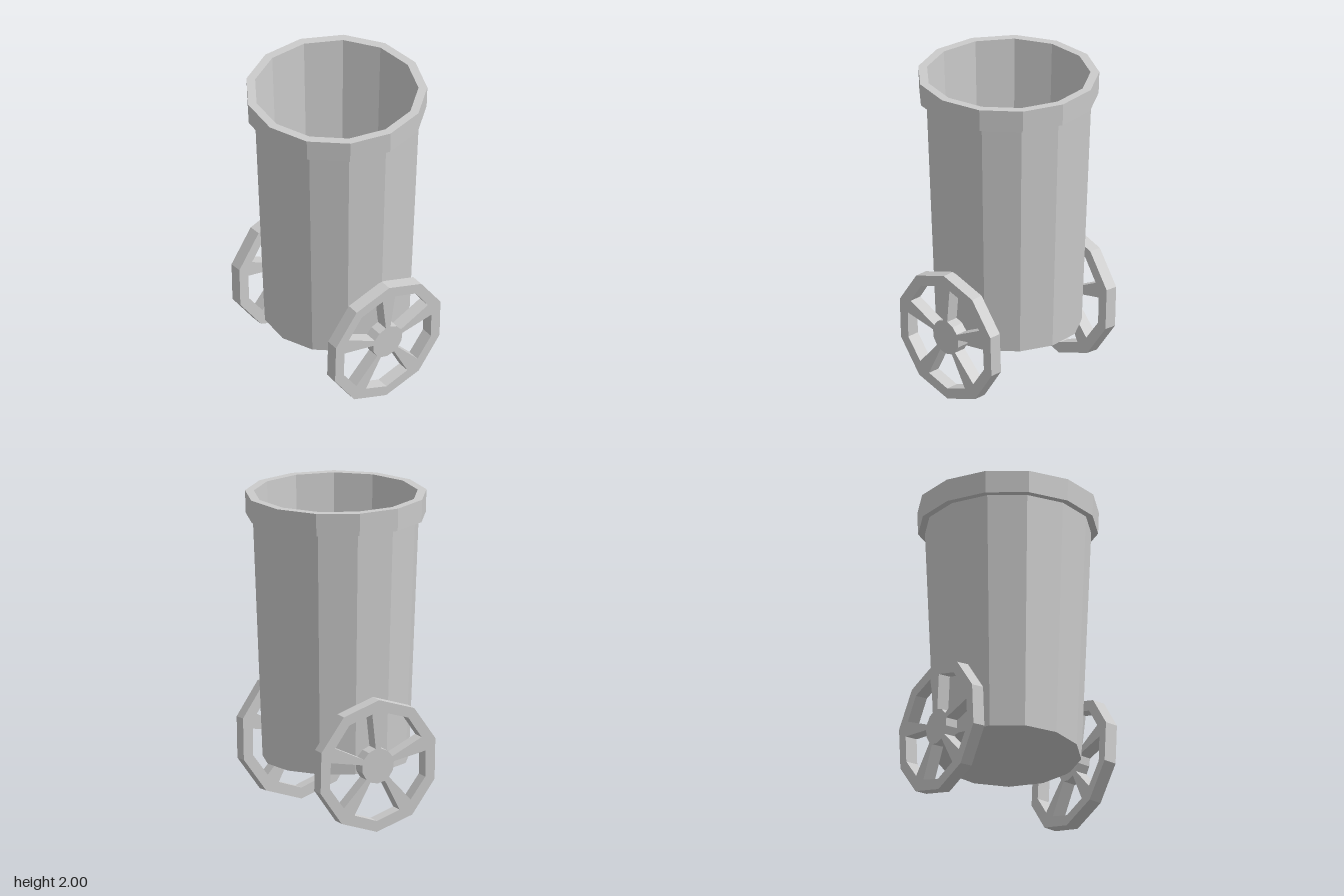
import * as THREE from 'three';

const SIDES = 13;
const CENTRE_X = -0.008; // balances the odd-sided barrel about x = 0
const material = new THREE.MeshStandardMaterial({ color: 0xcccccc, flatShading: true });

function mesh(name, geometry) {
  const m = new THREE.Mesh(geometry, material);
  m.name = name;
  return m;
}

// Faceted ring of revolution with one corner pointing to +x
function turned(name, profile) {
  const points = profile.map(([r, y]) => new THREE.Vector2(r, y));
  return mesh(name, new THREE.LatheGeometry(points, SIDES).rotateY(Math.PI / 2));
}

function polar(radius, degrees) {
  const a = THREE.MathUtils.degToRad(degrees);
  return new THREE.Vector2(radius * Math.cos(a), radius * Math.sin(a));
}

// Ten-sided wheel with five spokes, facing +x
function wheelGeometry() {
  const thickness = 0.08;
  const rim = [];
  for (let i = 0; i < 10; i++) rim.push(polar(0.413, 90 + i * 36));
  const shape = new THREE.Shape(rim);
  for (let i = 0; i < 5; i++) {
    const mid = -90 + i * 72;
    shape.holes.push(new THREE.Path([
      polar(0.11, mid - 27), polar(0.331, mid - 28), polar(0.345, mid),
      polar(0.331, mid + 28), polar(0.11, mid + 27), polar(0.11, mid),
    ]));
  }
  const geometry = new THREE.ExtrudeGeometry(shape, { depth: thickness, bevelEnabled: false });
  return geometry.translate(0, 0, -thickness / 2).rotateY(Math.PI / 2);
}

export function createModel() {
  const model = new THREE.Group();
  model.name = 'wheeledBin';

  // Tapered barrel, overhanging collar and hollow inside
  model.add(
    turned('barrel', [[0, 0.355], [0.445, 0.355], [0.505, 1.86]]),
    turned('collar', [[0.505, 1.86], [0.547, 1.86], [0.5515, 2], [0.498, 2]]),
    turned('inside', [[0.498, 2], [0.43, 0.37], [0, 0.37]]),
  );

  // Wheels lean outwards at the top, following the barrel wall
  const geometry = wheelGeometry();
  for (const side of [1, -1]) {
    const wheel = mesh(side > 0 ? 'leftWheel' : 'rightWheel', geometry);
    wheel.rotation.z = -0.038;
    wheel.position.set(0.4825, 0.4145, 0);
    const mount = new THREE.Group();
    mount.name = wheel.name + 'Mount';
    mount.rotation.y = side > 0 ? 0 : Math.PI;
    mount.add(wheel);
    model.add(mount);
  }

  model.position.x = CENTRE_X;
  const root = new THREE.Group();
  root.add(model);
  return root;
}
